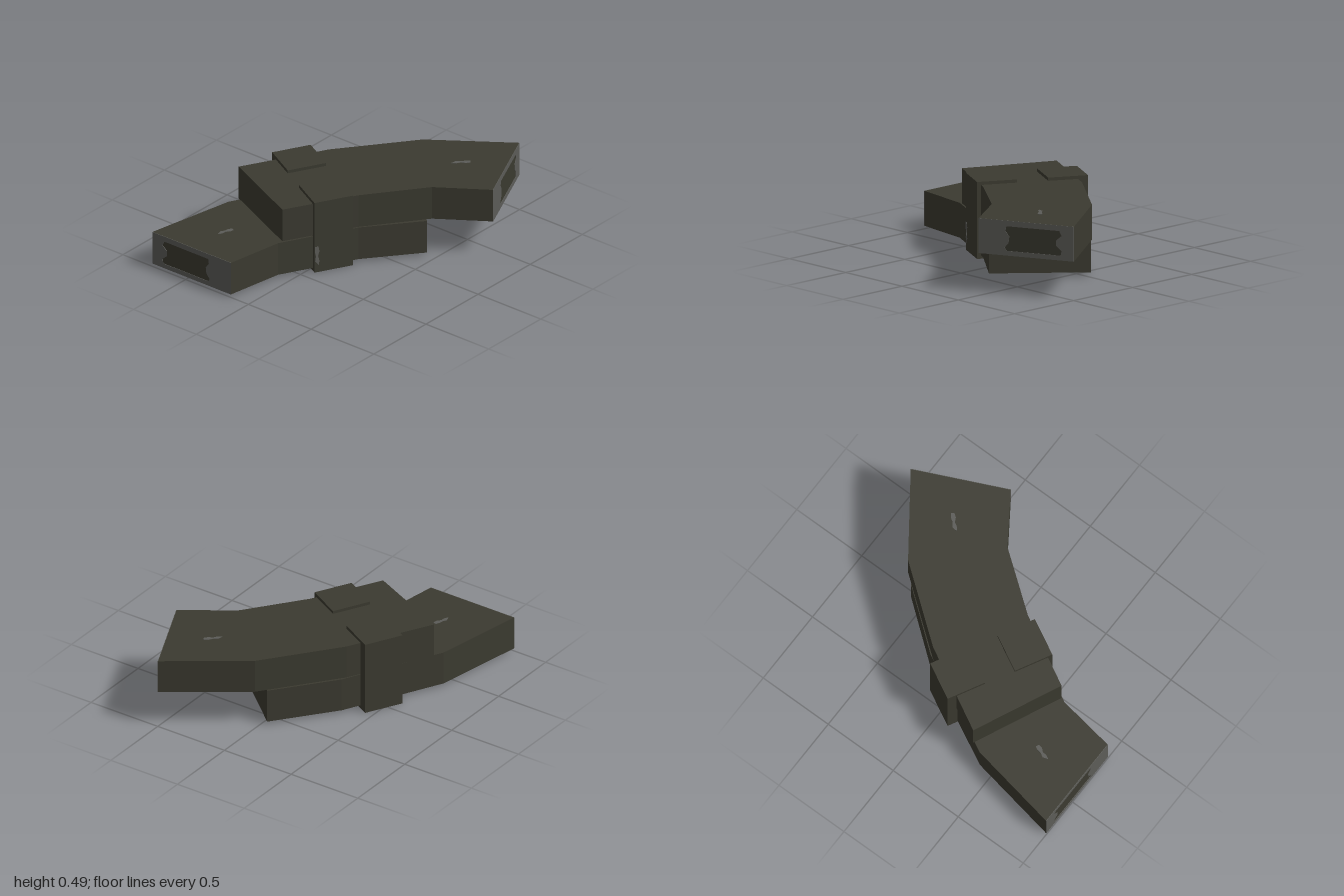
import * as THREE from 'three';

const bodyMat = new THREE.MeshStandardMaterial({ color: 0x3b3a30 });
bodyMat.name = 'darkOlive';
const greyMat = new THREE.MeshStandardMaterial({ color: 0x5c5c58 });
greyMat.name = 'wornGrey';

const toShape = (pts) => new THREE.Shape(pts.map(([x, y]) => new THREE.Vector2(x, y)));

function addMesh(parent, name, geometry, material) {
  const mesh = new THREE.Mesh(geometry, material);
  mesh.name = name;
  parent.add(mesh);
  return mesh;
}

// Flat plate lying in plan: outline given as [x, z], rising from y by height
function planSlab(outline, y, height) {
  const geo = new THREE.ExtrudeGeometry(toShape(outline.map(([x, z]) => [x, -z])),
    { depth: height, bevelEnabled: false });
  return geo.rotateX(-Math.PI / 2).translate(0, y, 0);
}

// Grey end face with a pinched opening that leaves the body showing
function endPlate(width, height, mirrored) {
  const flip = (u) => (mirrored ? width - u : u);
  const rect = toShape([[0, 0], [width, 0], [width, height], [0, height]]);
  const pinched = [
    [0.085, 0.03], [0.445, 0.03], [0.455, 0.05], [0.43, 0.08], [0.425, 0.12], [0.45, 0.155],
    [0.445, 0.185], [0.095, 0.185], [0.08, 0.155], [0.115, 0.125], [0.115, 0.09], [0.08, 0.06],
  ];
  rect.holes.push(new THREE.Path(pinched.map(([u, v]) => new THREE.Vector2(flip(u), v))));
  return new THREE.ExtrudeGeometry(rect, { depth: 0.003, bevelEnabled: false });
}

// Thin worn streak, wide at both ends
function streak(length) {
  const h = length / 2;
  const s = toShape([
    [-h, -0.012], [-h * 0.5, -0.016], [0, -0.007], [h * 0.5, -0.016], [h, -0.01],
    [h, 0.012], [h * 0.5, 0.014], [0, 0.007], [-h * 0.5, 0.012],
  ]);
  return new THREE.ExtrudeGeometry(s, { depth: 0.002, bevelEnabled: false });
}

export function createModel() {
  const model = new THREE.Group();
  model.name = 'pairedCurvedCases';

  // Two bent cases, stacked and overlapping
  const lower = [
    [-0.765, 0.997], [-0.14, 0.997], [-0.08, 0.62], [0.17, 0.15], [0.44, -0.185],
    [-0.035, -0.595], [-0.33, -0.22], [-0.655, 0.405],
  ];
  const upper = [
    [-0.63, 0.335], [-0.07, 0.59], [0.17, 0.15], [0.45, -0.22], [0.76, -0.43],
    [0.497, -1.0], [0.015, -0.655], [-0.345, -0.19],
  ];
  addMesh(model, 'lowerCase', planSlab(lower, 0.02, 0.22), bodyMat);
  addMesh(model, 'upperCase', planSlab(upper, 0.245, 0.22), bodyMat);

  // Grey end faces
  const frontEnd = addMesh(model, 'lowerEndFace', endPlate(0.625, 0.22, false), greyMat);
  frontEnd.position.set(-0.765, 0.02, 0.997);
  const backEnd = addMesh(model, 'upperEndFace', endPlate(0.627, 0.22, true), greyMat);
  backEnd.position.set(0.76, 0.245, -0.43);
  backEnd.rotation.y = Math.atan2(0.57, -0.263);

  // Clamps joining the two cases
  const clamps = [['rightClamp', -0.395, 0.037], ['leftClamp', 0, 0.255]];
  for (const [name, x, z] of clamps) {
    const clamp = new THREE.Group();
    clamp.name = name;
    clamp.position.set(x, 0.2425, z);
    clamp.rotation.y = -0.49;
    addMesh(clamp, name + 'Block', new THREE.BoxGeometry(0.253, 0.485, 0.255), bodyMat);
    if (name === 'leftClamp') {
      const mark = addMesh(clamp, 'clampWear', streak(0.13), greyMat);
      mark.position.set(0.1265, -0.13, 0.112);
      mark.rotation.set(0, Math.PI / 2, Math.PI / 2, 'YXZ');
    }
    model.add(clamp);
  }

  // Worn streaks on the top and underside
  const marks = [
    ['upperCaseWear', 0.38, 0.465, -0.58, 0.12, 0.75, 1],
    ['lowerCaseWear', -0.427, 0.24, 0.71, 0.11, 1.18, 1],
    ['upperUndersideWear', 0.38, 0.245, -0.58, 0.05, -0.75, -1],
    ['lowerUndersideWear', -0.427, 0.02, 0.71, 0.05, -1.18, -1],
  ];
  for (const [name, x, y, z, length, turn, side] of marks) {
    const mark = addMesh(model, name, streak(length), greyMat);
    mark.position.set(x, y, z);
    mark.rotation.set(-side * Math.PI / 2, 0, turn);
  }

  return model;
}
